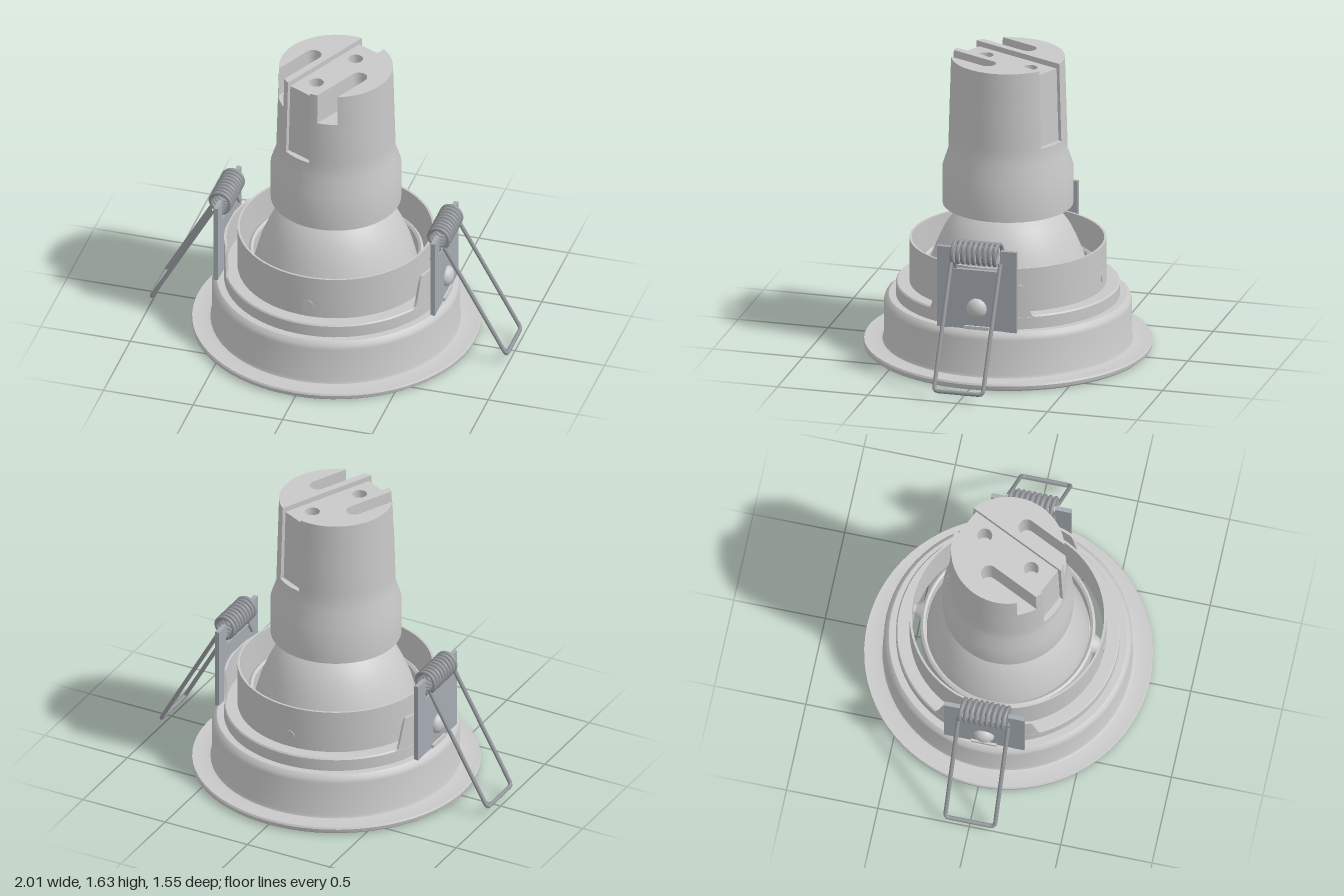
import * as THREE from 'three';
import { toCreasedNormals } from 'three/addons/utils/BufferGeometryUtils.js';

const V2 = (x, y) => new THREE.Vector2(x, y);
const V3 = (x, y, z) => new THREE.Vector3(x, y, z);
const mat = (name, color) => {
  const m = new THREE.MeshStandardMaterial({ color });
  m.name = name;
  return m;
};

export function createModel() {
  const paint = mat('light grey paint', 0xc9c9c9);
  const steel = mat('bracket steel', 0xa4abb1);
  const wire = mat('spring wire', 0x94989c);
  const model = new THREE.Group();
  model.name = 'recessedDownlight';

  const add = (parent, name, geo, material, crease = 0.6) => {
    const mesh = new THREE.Mesh(crease ? toCreasedNormals(geo, crease) : geo, material);
    mesh.name = name;
    parent.add(mesh);
    return mesh;
  };
  // profiles run up the outside and down the inside
  const lathe = (name, pts) =>
    add(model, name, new THREE.LatheGeometry(pts.map(p => V2(...p)), 72), paint);

  // trim ring: flange, rounded body, step and thin upper collar
  lathe('trimRing', [
    [0.66, 0.01], [0.76, 0.01], [0.772, 0.02], [0.776, 0.04], [0.77, 0.05], [0.69, 0.046],
    [0.672, 0.05], [0.665, 0.065], [0.665, 0.26], [0.658, 0.285], [0.638, 0.302],
    [0.60, 0.302], [0.60, 0.368], [0.593, 0.376], [0.527, 0.376], [0.527, 0.62],
    [0.515, 0.62], [0.515, 0.30], [0.575, 0.29], [0.595, 0.27], [0.64, 0.04], [0.66, 0.01],
  ]);

  // tilting ring that carries the lamp
  lathe('tiltRing', [
    [0.405, 0.33], [0.455, 0.33], [0.468, 0.345], [0.468, 0.48], [0.455, 0.49],
    [0.442, 0.48], [0.442, 0.36], [0.405, 0.36], [0.405, 0.33],
  ]);

  // reflector lamp with flat lens and narrow base
  lathe('lamp', [
    [0, 0.365], [0.40, 0.365], [0.435, 0.375], [0.435, 0.42], [0.425, 0.46], [0.405, 0.53],
    [0.367, 0.62], [0.335, 0.685], [0.295, 0.74], [0.25, 0.785], [0.20, 0.82],
    [0.15, 0.84], [0.15, 0.98], [0, 0.98],
  ]);

  // pivots joining the tilting ring to the collar
  for (const s of [1, -1]) {
    const pin = new THREE.CylinderGeometry(0.031, 0.031, 0.085, 20);
    pin.rotateX(Math.PI / 2).translate(0, 0.445, s * 0.488);
    add(model, 'pivotPin', pin, paint);
    const boss = new THREE.CylinderGeometry(0.035, 0.06, 0.04, 20);
    boss.rotateX(s * Math.PI / 2).translate(0, 0.445, s * 0.48);
    add(model, 'pivotBoss', boss, paint);
  }

  // lower lamp holder, hollow underneath
  lathe('holderSkirt', [
    [0, 0.97], [0.315, 0.97], [0.315, 0.82], [0.35, 0.82], [0.35, 1.03],
    [0.32, 1.12], [0.3175, 1.21], [0, 1.21],
  ]);

  // upper lamp holder, stacked from slices with grooves and slots
  const holder = new THREE.Group();
  holder.name = 'holderTop';
  holder.rotation.y = -0.445;
  model.add(holder);
  const R = 0.305, G = 0.08, FLAT = 0.275;
  const edge = slotted => {
    const pts = [];
    const arc = (cx, r, a, b, n) => {
      for (let i = 0; i <= n; i++) {
        const t = a + (b - a) * i / n;
        pts.push(V2(cx + r * Math.cos(t), r * Math.sin(t)));
      }
    };
    const end = Math.acos(G / R);
    if (!slotted) arc(0, R, -end, end, 32);
    else {
      arc(0, R, -end, Math.acos(0.21 / R), 26);
      arc(0.165, 0.045, 0, -Math.PI, 12);
      arc(0, R, Math.acos(0.12 / R), end, 3);
    }
    return pts;
  };
  const mirror = pts => pts.map(p => V2(-p.x, p.y)).reverse();
  const whole = slotted => {
    const e = edge(slotted);
    return new THREE.Shape([
      ...e, V2(G, FLAT), V2(-G, FLAT), ...mirror(e), V2(-G, -FLAT), V2(G, -FLAT)]);
  };
  const slice = (name, shape, y0, y1) => {
    const g = new THREE.ExtrudeGeometry(shape, { depth: y1 - y0, bevelEnabled: false, curveSegments: 20 });
    g.rotateX(Math.PI / 2).translate(0, y1, 0);
    const p = g.attributes.position;
    for (let i = 0; i < p.count; i++) {
      const k = (0.32 - 0.015 * (p.getY(i) - 1.12) / 0.525) / R;
      p.setX(i, p.getX(i) * k);
      p.setZ(i, p.getZ(i) * k);
    }
    add(holder, name, g, paint);
  };
  slice('holderBody', whole(false), 1.21, 1.47);
  const slotBody = whole(true);
  for (const v of [-0.156, 0.156])
    slotBody.holes.push(new THREE.Path().absarc(0, v, 0.04, 0, Math.PI * 2, true));
  slice('holderSlots', slotBody, 1.47, 1.615);
  slice('holderRidge', new THREE.Shape(edge(true)), 1.615, 1.645);
  slice('holderRidge', new THREE.Shape(mirror(edge(true))), 1.615, 1.645);

  // line path with rounded corners for bent wire
  const bentWire = (pts, r) => {
    const path = new THREE.CurvePath();
    let from = pts[0];
    for (let i = 1; i < pts.length - 1; i++) {
      const c = pts[i];
      const a = c.clone().add(pts[i - 1].clone().sub(c).setLength(r));
      const b = c.clone().add(pts[i + 1].clone().sub(c).setLength(r));
      path.add(new THREE.LineCurve3(from, a));
      path.add(new THREE.QuadraticBezierCurve3(a, c, b));
      from = b;
    }
    path.add(new THREE.LineCurve3(from, pts[pts.length - 1]));
    return path;
  };

  // spring clip assembly, built on +x
  const buildClip = () => {
    const clip = new THREE.Group();
    clip.name = 'springClip';

    // raised curved tab of the trim behind the bracket
    const tab = new THREE.BoxGeometry(0.62, 0.2, 0.014, 62, 1, 1);
    const p = tab.attributes.position;
    for (let i = 0; i < p.count; i++) {
      const s = p.getX(i), r = 0.592 + p.getZ(i);
      const h = 0.372 + 0.178 * THREE.MathUtils.smoothstep(0.30 - Math.abs(s), 0, 0.06);
      p.setXYZ(i, r * Math.cos(s / 0.6), p.getY(i) > 0 ? h : 0.35, -r * Math.sin(s / 0.6));
    }
    add(clip, 'trimTab', tab, paint);

    // notched bracket plate
    const outline = [[-0.22, 0.30], [0.22, 0.30], [0.22, 0.755], [0.13, 0.755],
      [0.13, 0.635], [-0.13, 0.635], [-0.13, 0.755], [-0.22, 0.755]];
    const plate = new THREE.ExtrudeGeometry(new THREE.Shape(outline.map(q => V2(...q))),
      { depth: 0.024, bevelEnabled: false });
    plate.rotateY(Math.PI / 2).translate(0.594, 0, 0);
    add(clip, 'bracket', plate, steel);

    // small foot and domed rivet
    add(clip, 'bracketFoot', new THREE.BoxGeometry(0.03, 0.02, 0.14).translate(0.615, 0.311, 0), paint);
    const rivet = new THREE.SphereGeometry(0.056, 24, 10, 0, Math.PI * 2, 0, Math.PI / 2);
    rivet.scale(1, 0.7, 1).rotateZ(-Math.PI / 2).translate(0.618, 0.42, 0);
    add(clip, 'rivet', rivet, paint, 0);

    // coil
    const turns = 9, coil = [];
    for (let i = 0; i <= turns * 12; i++) {
      const a = i / 12 * Math.PI * 2 - 0.9;
      coil.push(V3(0.61 + 0.057 * Math.cos(a), 0.732 + 0.057 * Math.sin(a),
        0.13 - 0.265 * i / (turns * 12)));
    }
    add(clip, 'coilSpring', new THREE.TubeGeometry(new THREE.CatmullRomCurve3(coil), 270, 0.0115, 8), wire, 0);

    // wire arm loop and short tail
    const loop = bentWire([V3(0.643, 0.69, 0.134), V3(0.992, 0.067, 0.134),
      V3(0.992, 0.067, -0.138), V3(0.643, 0.69, -0.138)], 0.025);
    add(clip, 'springArm', new THREE.TubeGeometry(loop, 120, 0.0115, 8), wire, 0);
    const tail = new THREE.LineCurve3(V3(0.62, 0.68, 0.125), V3(0.572, 0.592, 0.125));
    add(clip, 'springTail', new THREE.TubeGeometry(tail, 2, 0.0115, 8), wire, 0);
    return clip;
  };
  const left = buildClip();
  const right = buildClip();
  right.rotation.y = Math.PI;
  model.add(left, right);

  return model;
}
